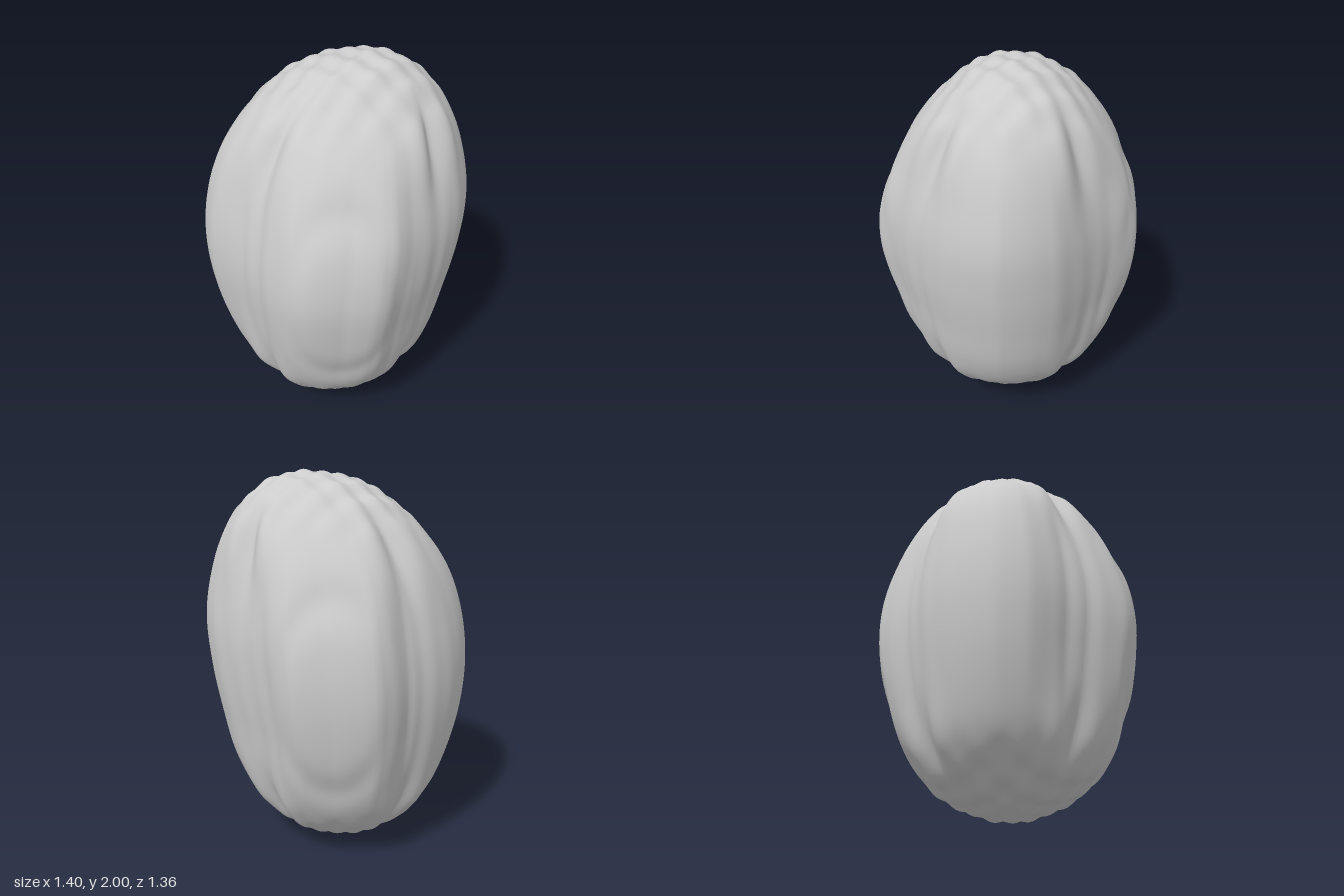
import * as THREE from 'three';

// Equatorial outline (x, z): four broad lobes with slightly hollow diagonals
const OUTLINE = [
  [0.695, 0], [0.65, 0.17], [0.58, 0.30], [0.48, 0.40], [0.40, 0.48], [0.30, 0.56], [0.22, 0.65], [0.15, 0.675],
  [0, 0.67], [-0.20, 0.655], [-0.28, 0.62], [-0.36, 0.52], [-0.42, 0.42], [-0.50, 0.32], [-0.58, 0.25], [-0.66, 0.15],
  [-0.695, 0], [-0.65, -0.17], [-0.55, -0.33], [-0.45, -0.42], [-0.38, -0.48], [-0.31, -0.60], [-0.25, -0.66],
  [0, -0.68], [0.17, -0.67], [0.24, -0.62], [0.30, -0.54], [0.38, -0.46], [0.48, -0.38], [0.60, -0.27],
];

// Extents on each side, every 15 degrees from the bottom pole to the top pole
const LEFT = [-0.03, -0.24, -0.39, -0.53, -0.62, -0.68, -0.70, -0.67, -0.59, -0.45, -0.28, -0.09, 0.16];
const RIGHT = [-0.03, 0.16, 0.32, 0.47, 0.575, 0.635, 0.68, 0.695, 0.65, 0.57, 0.46, 0.32, 0.16];
const FRONT = [0, 0.18, 0.37, 0.50, 0.59, 0.65, 0.68, 0.645, 0.545, 0.42, 0.27, 0.14, -0.03];
const BACK = [0, -0.18, -0.37, -0.50, -0.59, -0.65, -0.675, -0.65, -0.57, -0.46, -0.33, -0.19, -0.03];

const gauss = (d, w) => Math.exp(-(d * d) / (w * w));

// Smooth interpolation through a table, u in 0..1
function sample(table, u) {
  const f = u * (table.length - 1);
  const i = Math.min(Math.floor(f), table.length - 2);
  const s = f - i;
  const at = (k) => table[Math.max(0, Math.min(table.length - 1, k))];
  const [a, b, c, d] = [at(i - 1), at(i), at(i + 1), at(i + 2)];
  return b + 0.5 * s * (c - a + s * (2 * a - 5 * b + 4 * c - d + s * (3 * (b - c) + d - a)));
}

// Outline radius by angle, relative to a unit circle
const polar = OUTLINE.map(([x, z]) => {
  const a = Math.atan2(z / 0.675, x / 0.695);
  return { a: a < -1e-6 ? a + 2 * Math.PI : a, r: Math.hypot(x / 0.695, z / 0.675) };
});
polar.push({ a: 2 * Math.PI, r: polar[0].r });
function outlineRadius(a) {
  let i = 0;
  while (i < polar.length - 2 && polar[i + 1].a < a) i++;
  const p = polar[i], q = polar[i + 1];
  return THREE.MathUtils.lerp(p.r, q.r, (a - p.a) / (q.a - p.a));
}

// Surface relief: faint ridges on the flanks, a notch between lobes at both ends
function relief(a, u) {
  let d = 0.004 * Math.cos(28 * a + 1.5 * Math.sin(5 * u)) * Math.sin(2 * a) ** 2 * gauss(u - 0.5, 0.22);
  for (let k = 0; k < 4; k++) {
    const side = a - Math.PI / 4 - (k * Math.PI) / 2 + 0.05 * Math.cos(k * 2);
    d -= 0.065 * gauss(side, 0.11) * (gauss(u - 0.74, 0.08) + gauss(u - 0.24, 0.08));
    // Square shoulders of the lobes on either side of the notch
    d += 0.045 * gauss(Math.abs(side) - 0.22, 0.14) * (gauss(u - 0.77, 0.11) + 0.7 * gauss(u - 0.22, 0.1));
  }
  return d;
}

// Closed body made from rings stacked between the two poles
function bodyGeometry(rings = 150, segs = 180) {
  const pos = [], index = [];
  const id = (i, j) => (i === 0 ? 0 : i === rings ? 1 + (rings - 1) * segs : 1 + (i - 1) * segs + (j % segs));
  for (let i = 0; i <= rings; i++) {
    const u = i / rings;
    const height = 1 - Math.cos(Math.PI * u);
    const [l, r, f, b] = [LEFT, RIGHT, FRONT, BACK].map((t) => sample(t, u));
    const cx = (l + r) / 2, hx = (r - l) / 2, cz = (f + b) / 2, hz = (f - b) / 2;
    // The section turns rounder and the skin knobbly towards the ends
    const round = THREE.MathUtils.smoothstep(Math.abs(u - 0.5), 0.08, 0.36);
    const knobs = THREE.MathUtils.smoothstep(Math.abs(u - 0.5), 0.2, 0.36);
    const top = u > 0.5;
    const pole = i === 0 || i === rings;
    for (let j = 0; j < (pole ? 1 : segs); j++) {
      const a = (j / segs) * 2 * Math.PI;
      const k = THREE.MathUtils.lerp(outlineRadius(a), 1, round) + relief(a, u);
      const x = cx + hx * k * Math.cos(a);
      let z = cz + hz * k * Math.sin(a);
      // Diamond pattern of knobs, pressed inwards from the rounded ends
      const lattice = Math.cos(34 * (x - (top ? 0.16 : -0.03))) * Math.cos(34 * (z + (top ? 0.03 : 0)));
      const y = height - (top ? 1 : -1) * 0.012 * knobs * (1 - lattice);
      // Raised oval on the front and back, set off by a shallow groove
      const oval = Math.hypot((x + 0.03) / 0.25, (y - 0.97) / 0.44);
      z -= 0.014 * gauss(oval - 1.1, 0.2) * Math.sign(z) * Math.abs(Math.sin(a)) ** 3;
      pos.push(x, y, z);
    }
  }
  for (let i = 0; i < rings; i++) {
    for (let j = 0; j < segs; j++) {
      if (i < rings - 1) index.push(id(i, j), id(i + 1, j), id(i + 1, j + 1));
      if (i > 0) index.push(id(i, j), id(i + 1, j + 1), id(i, j + 1));
    }
  }
  const g = new THREE.BufferGeometry();
  g.setAttribute('position', new THREE.Float32BufferAttribute(pos, 3));
  g.setIndex(index);
  g.computeVertexNormals();
  return g;
}

export function createModel() {
  const group = new THREE.Group();
  group.name = 'lumpyPod';
  const body = new THREE.Mesh(bodyGeometry(), new THREE.MeshStandardMaterial({ color: 0xcccccc }));
  body.name = 'body';
  group.add(body);
  return group;
}
